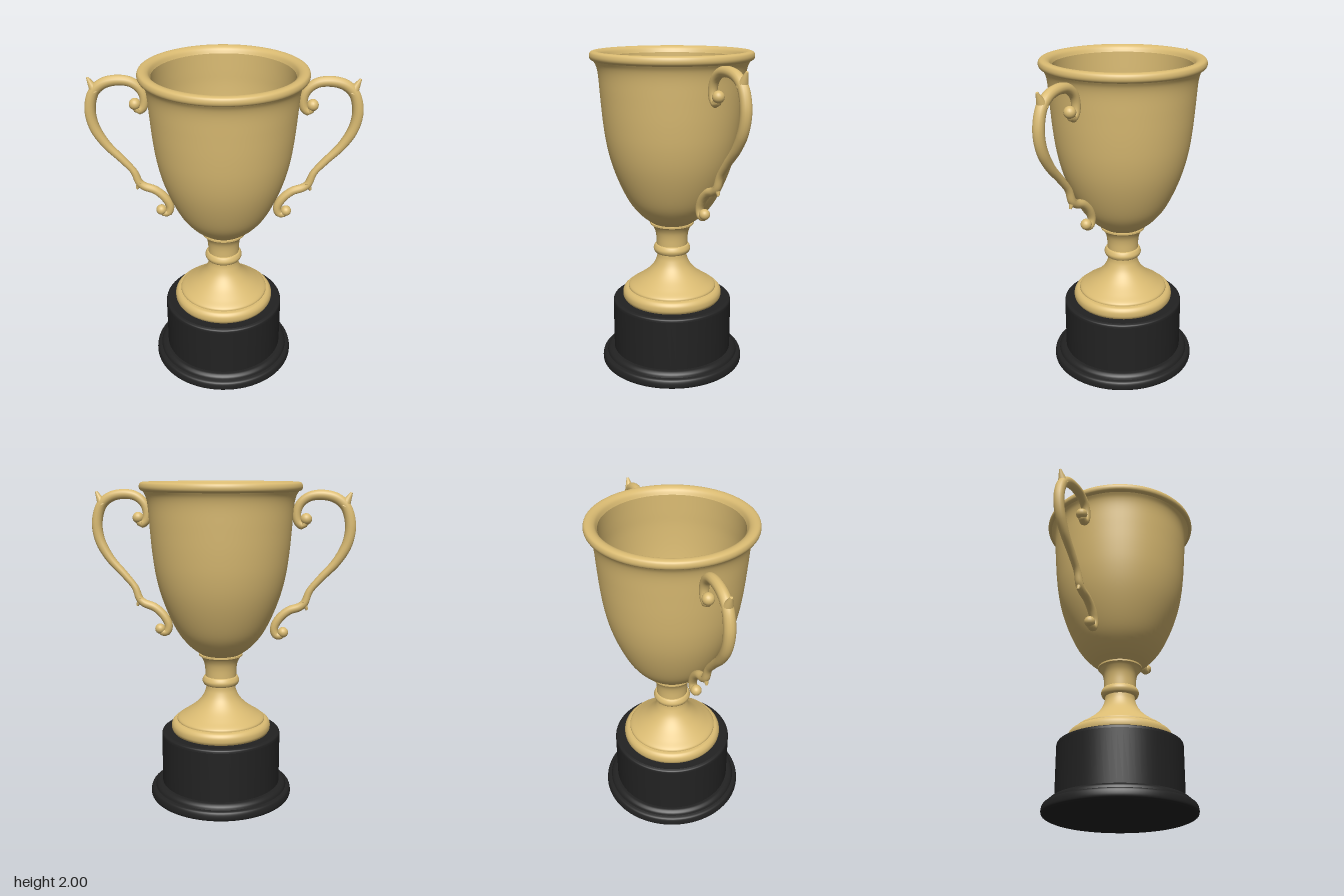
import * as THREE from 'three';

const gold = new THREE.MeshStandardMaterial({ color: 0xdabb72 });
gold.name = 'gold';
const black = new THREE.MeshStandardMaterial({ color: 0x222222 });
black.name = 'black';

const V2 = (p) => new THREE.Vector2(p[0], p[1]);

// Turned part: each section is a smooth [radius, y] curve, with a crease between sections
function turned(name, material, sections) {
  const group = new THREE.Group();
  group.name = name;
  sections.forEach((pts, i) => {
    const profile = pts.length > 2
      ? new THREE.SplineCurve(pts.map(V2)).getPoints(pts.length * 4)
      : pts.map(V2);
    profile.forEach((p) => { p.x = Math.max(p.x, 0); });
    const mesh = new THREE.Mesh(new THREE.LatheGeometry(profile, 72), material);
    mesh.name = `${name}Section${i + 1}`;
    group.add(mesh);
  });
  return group;
}

// Round tube whose radius follows a list of values along the path
function taperedTube(pts, radii) {
  const path = new THREE.CatmullRomCurve3(pts.map(([x, y]) => new THREE.Vector3(x, y, 0)), false, 'centripetal');
  const rings = 140, sides = 14;
  const geo = new THREE.TubeGeometry(path, rings, 1, sides, false);
  const pos = geo.attributes.position, v = new THREE.Vector3();
  for (let i = 0; i <= rings; i++) {
    const centre = path.getPointAt(i / rings);
    const f = (i / rings) * (radii.length - 1);
    const k = Math.min(Math.floor(f), radii.length - 2);
    const r = THREE.MathUtils.lerp(radii[k], radii[k + 1], f - k);
    for (let j = 0; j <= sides; j++) {
      const n = i * (sides + 1) + j;
      v.fromBufferAttribute(pos, n).sub(centre).multiplyScalar(r).add(centre);
      pos.setXYZ(n, v.x, v.y, v.z);
    }
  }
  geo.computeVertexNormals();
  // Keep the lengthwise seam smooth
  const nor = geo.attributes.normal, a = new THREE.Vector3();
  for (let i = 0; i <= rings; i++) {
    const s = i * (sides + 1), e = s + sides;
    a.fromBufferAttribute(nor, s).add(v.fromBufferAttribute(nor, e)).normalize();
    nor.setXYZ(s, a.x, a.y, a.z);
    nor.setXYZ(e, a.x, a.y, a.z);
  }
  return geo;
}

function createHandle(name) {
  const handle = new THREE.Group();
  handle.name = name;
  const add = (part, geo) => {
    const mesh = new THREE.Mesh(geo, gold);
    mesh.name = part;
    handle.add(mesh);
    return mesh;
  };
  // Scrolled S-shaped bar
  const path = [
    [0.51, 1.78], [0.493, 1.745], [0.465, 1.765], [0.457, 1.82], [0.478, 1.875],
    [0.53, 1.915], [0.61, 1.925], [0.69, 1.905], [0.745, 1.855], [0.775, 1.75],
    [0.76, 1.64], [0.70, 1.53], [0.61, 1.43], [0.545, 1.35], [0.515, 1.275],
    [0.485, 1.25], [0.42, 1.225], [0.36, 1.17], [0.333, 1.11], [0.345, 1.07],
    [0.375, 1.068], [0.387, 1.085],
  ];
  add('scrollBar', taperedTube(path, [0.024, 0.027, 0.03, 0.032, 0.033, 0.031, 0.025, 0.021, 0.026, 0.027, 0.023]));
  // Scroll ends
  for (const [part, x, y, r] of [['upperScrollEnd', 0.513, 1.783, 0.035], ['lowerScrollEnd', 0.388, 1.088, 0.033]]) {
    add(part, new THREE.SphereGeometry(r, 20, 14)).position.set(x, y, 0);
  }
  // Pointed spurs on the outer bends, given by root and tip
  for (const [part, x0, y0, x1, y1, r] of [
    ['upperSpur', 0.735, 1.86, 0.775, 1.94, 0.034],
    ['lowerSpur', 0.51, 1.285, 0.533, 1.233, 0.024],
  ]) {
    const dir = new THREE.Vector3(x1 - x0, y1 - y0, 0);
    const geo = new THREE.CylinderGeometry(0.007, r, dir.length(), 16);
    const spur = add(part, geo);
    spur.position.set((x0 + x1) / 2, (y0 + y1) / 2, 0);
    spur.quaternion.setFromUnitVectors(new THREE.Vector3(0, 1, 0), dir.normalize());
  }
  return handle;
}

export function createModel() {
  const trophy = new THREE.Group();
  trophy.name = 'trophyCup';

  // Black plinth with a moulded foot
  trophy.add(turned('plinth', black, [
    [[0, 0], [0.43, 0]],
    [[0.43, 0], [0.452, 0.012], [0.455, 0.035], [0.447, 0.06], [0.425, 0.068]],
    [[0.425, 0.068], [0.418, 0.085], [0.40, 0.098], [0.38, 0.1]],
    [[0.38, 0.1], [0.38, 0.415]],
    [[0.38, 0.415], [0.376, 0.43], [0.36, 0.437]],
    [[0.36, 0.437], [0, 0.437]],
  ]));

  // Flared foot
  trophy.add(turned('foot', gold, [
    [[0.305, 0.435], [0.316, 0.455], [0.315, 0.485], [0.3, 0.506], [0.28, 0.512]],
    [[0.28, 0.512], [0.278, 0.522], [0.265, 0.534], [0.225, 0.56], [0.165, 0.605], [0.12, 0.655], [0.097, 0.705], [0.092, 0.742]],
  ]));

  // Stem with its ring
  trophy.add(turned('stem', gold, [
    [[0.092, 0.74], [0.108, 0.745], [0.117, 0.768], [0.108, 0.792], [0.098, 0.798]],
    [[0.098, 0.798], [0.1, 0.85], [0.108, 0.89], [0.125, 0.922], [0.138, 0.932]],
    [[0.138, 0.932], [0.138, 0.942]],
    [[0.138, 0.942], [0.1, 0.942]],
  ]));

  // Bowl outside
  trophy.add(turned('bowl', gold, [
    [[0.1, 0.928], [0.145, 0.955], [0.205, 1.005], [0.268, 1.085], [0.325, 1.2], [0.372, 1.33],
      [0.402, 1.46], [0.42, 1.6], [0.432, 1.75], [0.44, 1.86], [0.451, 1.915], [0.467, 1.945]],
  ]));

  // Rolled rim
  trophy.add(turned('rim', gold, [
    [[0.467, 1.945], [0.484, 1.954], [0.49, 1.972], [0.484, 1.992], [0.467, 2], [0.445, 1.998], [0.425, 1.985], [0.412, 1.96]],
  ]));

  // Bowl inside
  trophy.add(turned('bowlLining', gold, [
    [[0.412, 1.96], [0.41, 1.85], [0.408, 1.75], [0.397, 1.6], [0.378, 1.46], [0.348, 1.33],
      [0.3, 1.2], [0.24, 1.09], [0.17, 1.015], [0.09, 0.972], [0, 0.96]],
  ]));

  // Handles on both sides
  const left = createHandle('leftHandle');
  const right = createHandle('rightHandle');
  right.rotation.y = Math.PI;
  trophy.add(left, right);

  return trophy;
}
